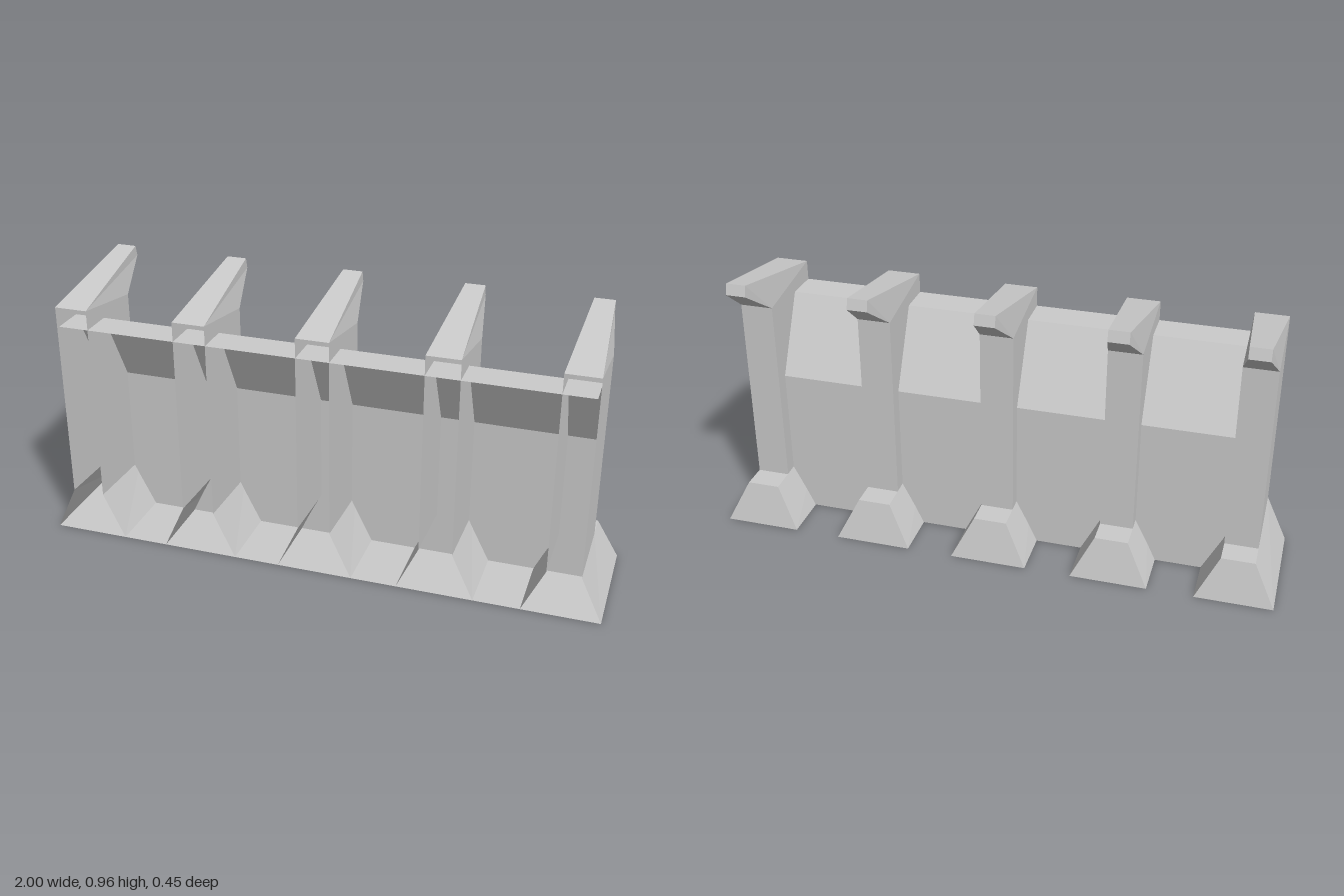
import * as THREE from 'three';

const material = new THREE.MeshStandardMaterial({
  color: 0xcccccc, flatShading: true, side: THREE.DoubleSide,
});

// Mirrored shell: points are [z, y, halfWidth]; the outline is bridged from
// side to side, and the listed polygons close both flanks.
function shell(name, points, outline, flanks = []) {
  const positions = [];
  const corner = (i, s) => [s * points[i][2], points[i][1], points[i][0]];
  const fan = (c) => {
    for (let i = 1; i < c.length - 1; i++) positions.push(...c[0], ...c[i], ...c[i + 1]);
  };
  for (let i = 0; i < outline.length - 1; i++) {
    const a = outline[i], b = outline[i + 1];
    fan([corner(a, 1), corner(a, -1), corner(b, -1), corner(b, 1)]);
  }
  for (const f of flanks) {
    fan(f.map((i) => corner(i, 1)));
    fan([...f].reverse().map((i) => corner(i, -1)));
  }
  const geometry = new THREE.BufferGeometry();
  geometry.setAttribute('position', new THREE.Float32BufferAttribute(positions, 3));
  geometry.computeVertexNormals();
  const mesh = new THREE.Mesh(geometry, material);
  mesh.name = name;
  return mesh;
}

export function createModel() {
  const model = new THREE.Group();
  model.name = 'buttressedWall';

  // Wall: floor, back, sloped shoulder and top ledge, open at the front
  const w = 0.915;
  model.add(shell('wall', [
    [0.225, 0, w], [-0.035, 0, w], [-0.035, 0.54, w], [0.105, 0.81, w], [0.225, 0.81, w],
  ], [0, 1, 2, 3, 4]));

  // Buttress: flared foot, straight post and tapering prong, open at the front
  const profile = [
    [0.225, 0, 0.135],       // 0 foot, base front
    [-0.21, 0, 0.135],       // 1 foot, base back
    [-0.175, 0.152, 0.058],  // 2 foot, top back
    [-0.085, 0.152, 0.058],  // 3 post, bottom back
    [-0.085, 0.828, 0.058],  // 4 post, top back
    [-0.225, 0.927, 0.035],  // 5 prong tip, lower
    [-0.215, 0.965, 0.035],  // 6 prong tip, upper
    [0.225, 0.88, 0.058],    // 7 post, top front
    [0.225, 0.165, 0.058],   // 8 post, bottom front
  ];
  const flanks = [[0, 1, 2, 3, 8], [8, 3, 4, 7], [7, 4, 5, 6]];
  for (let i = -2; i <= 2; i++) {
    const buttress = shell('buttress', profile, [0, 1, 2, 3, 4, 5, 6, 7], flanks);
    buttress.position.x = i * 0.4325;
    model.add(buttress);
  }
  return model;
}
